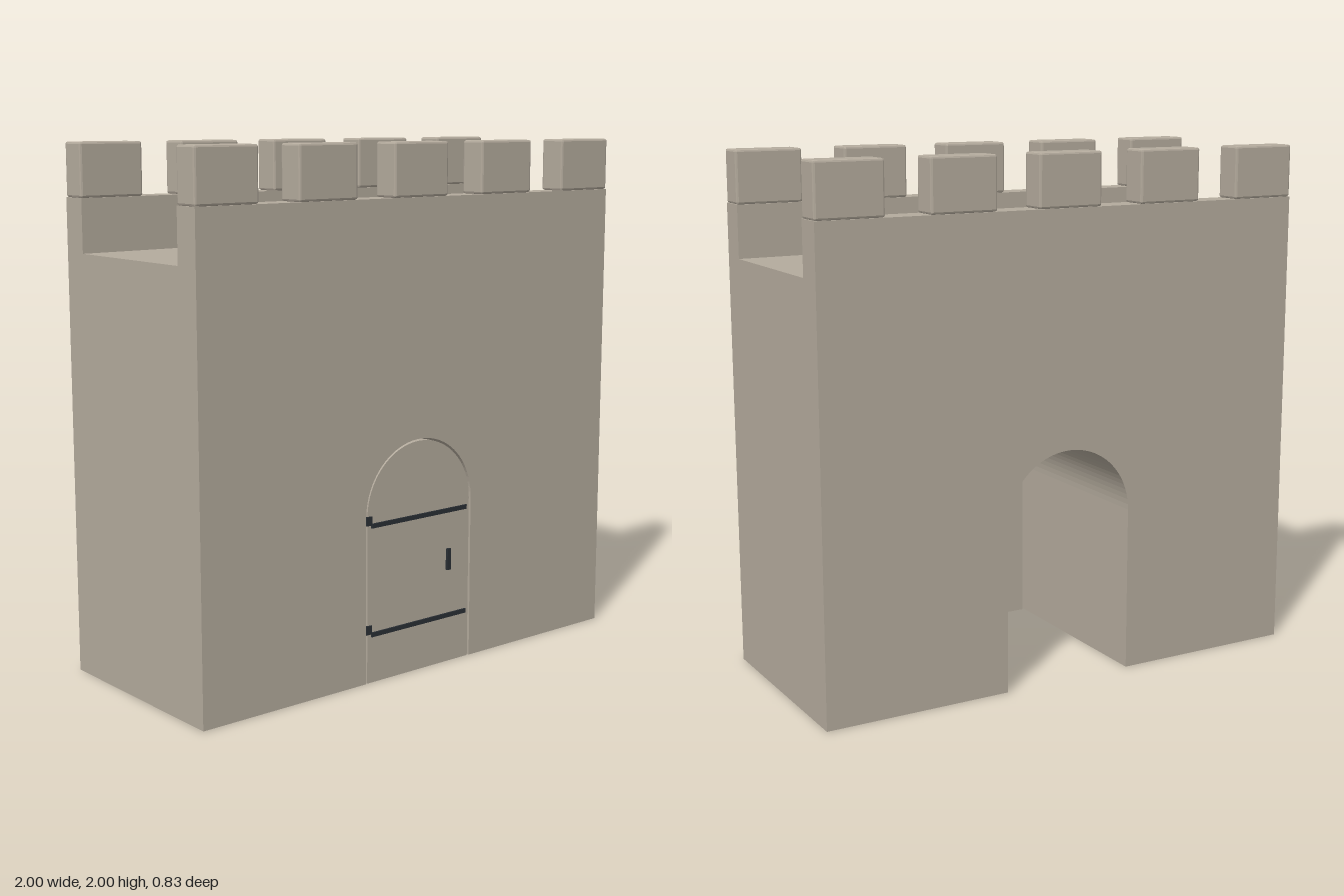
import * as THREE from 'three';
import { RoundedBoxGeometry } from 'three/addons/geometries/RoundedBoxGeometry.js';

const FRONT = 0.408, BACK = -0.417, PARAPET = 0.106;

export function createModel() {
  const model = new THREE.Group();
  model.name = 'gatehouse';
  const stone = new THREE.MeshStandardMaterial({ name: 'stone', color: 0xb4ab9d });
  const iron = new THREE.MeshStandardMaterial({ name: 'iron', color: 0x2a2f34 });

  function add(name, geometry, material, x = 0, y = 0, z = 0) {
    const mesh = new THREE.Mesh(geometry, material);
    mesh.name = name;
    mesh.position.set(x, y, z);
    model.add(mesh);
    return mesh;
  }

  function extrude(shape, depth) {
    return new THREE.ExtrudeGeometry(shape, { depth, bevelEnabled: false, curveSegments: 20 });
  }

  // Main block with the arched passage running through it
  const block = new THREE.Shape();
  block.moveTo(-1, 0);
  block.lineTo(-0.265, 0);
  block.lineTo(-0.265, 0.637);
  block.absarc(0, 0.637, 0.265, Math.PI, 0, true);
  block.lineTo(0.265, 0);
  block.lineTo(1, 0);
  block.lineTo(1, 1.6);
  block.lineTo(-1, 1.6);
  block.closePath();
  add('wallBlock', extrude(block, FRONT - BACK), stone, 0, 0, BACK);

  // Parapets with five chamfered merlons each
  const parapet = new THREE.BoxGeometry(2, 0.2, PARAPET);
  const merlon = new RoundedBoxGeometry(0.262, 0.2, PARAPET, 1, 0.008);
  merlon.computeVertexNormals();
  const rows = [['front', FRONT - PARAPET / 2], ['back', BACK + PARAPET / 2]];
  for (const [side, z] of rows) {
    add(side + 'Parapet', parapet, stone, 0, 1.7, z);
    for (let i = -2; i <= 2; i++) {
      add(side + 'Merlon', merlon, stone, i * 0.4345, 1.9, z);
    }
  }

  // Arched door standing in the front of the passage with a narrow gap
  const door = new THREE.Shape();
  door.moveTo(-0.257, 0);
  door.lineTo(0.257, 0);
  door.lineTo(0.257, 0.637);
  door.absarc(0, 0.637, 0.257, 0, Math.PI, false);
  door.closePath();
  add('door', extrude(door, 0.035), stone, 0, 0, FRONT - 0.037);

  // Iron straps with hinge knuckles
  for (const y of [0.187, 0.604]) {
    add('hingeStrap', new THREE.BoxGeometry(0.48, 0.017, 0.012), iron, 0, y, 0.407);
    add('hingeKnuckle', new THREE.BoxGeometry(0.027, 0.034, 0.014), iron, -0.252, y + 0.02, 0.405);
  }

  // Handle
  add('doorHandle', new THREE.BoxGeometry(0.017, 0.084, 0.016), iron, 0.147, 0.411, 0.409);

  return model;
}
